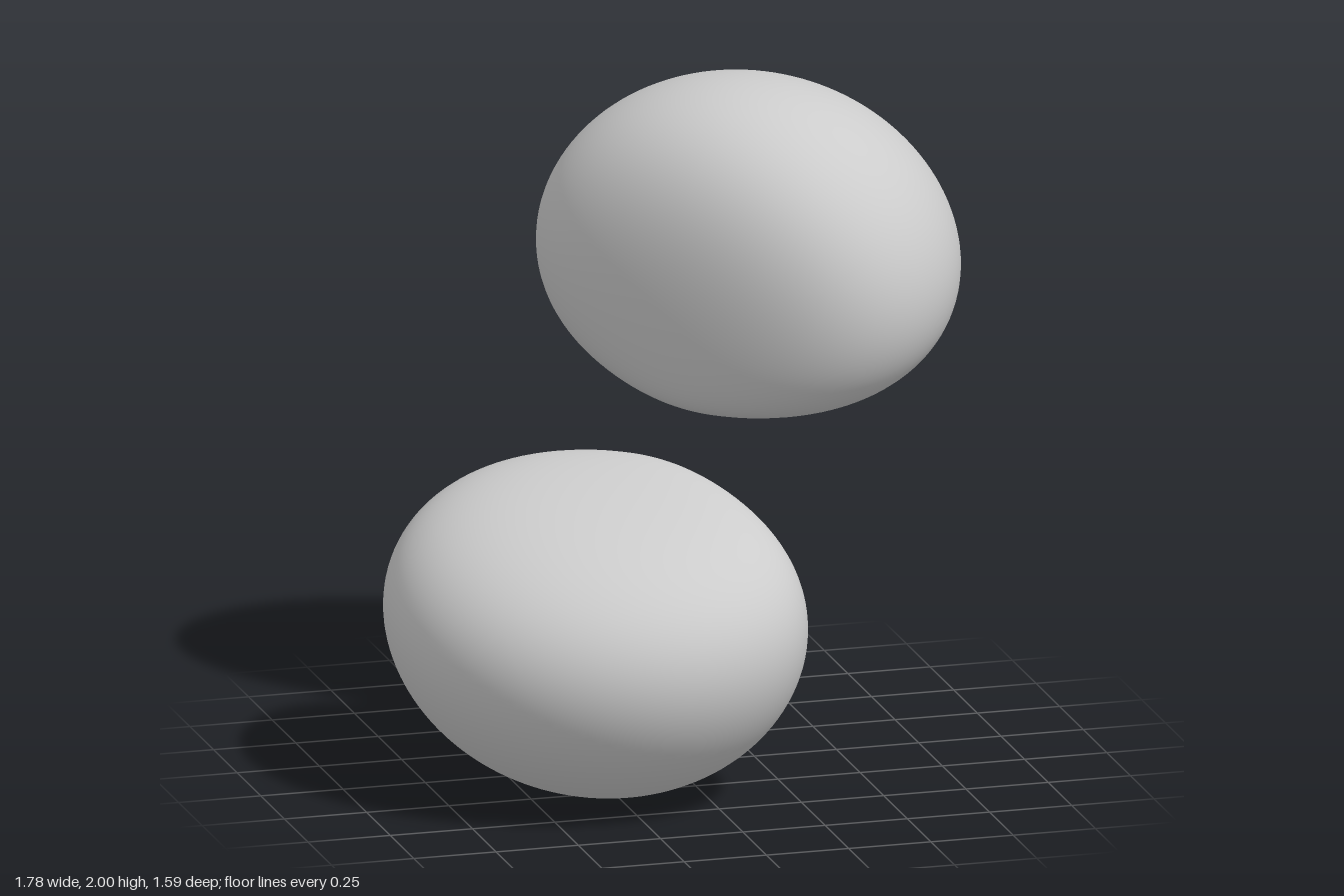
import * as THREE from 'three';
import { mergeVertices } from 'three/addons/utils/BufferGeometryUtils.js';

// Axes of a lobe: outward, across its wedge, along its ridge; and its root
const OUT = new THREE.Vector3(0.542, 0.801, -0.381);
const ACROSS = new THREE.Vector3(-0.623, 0.565, 0.693);
const RIDGE = new THREE.Vector3(0.684, -0.127, 0.724);
const ROOT = new THREE.Vector3(-0.033, 0.01, 0.036);

// Lobe of a four-lobed wave function, x outward, z along the ridge:
// a wedge with a rounded ridge and a round back
function inside({ x, y, z }) {
  const r = Math.hypot(x, y, z);
  return x > Math.abs(y) && Math.sqrt(x * x - y * y) > 0.0486 * r ** -0.15 * Math.exp(2.832 * r);
}

function lobeGeometry() {
  let geo = new THREE.IcosahedronGeometry(1, 24);
  geo.deleteAttribute('normal');
  geo.deleteAttribute('uv');
  geo = mergeVertices(geo, 1e-5);
  const pos = geo.attributes.position;
  const core = new THREE.Vector3(0.5, 0, 0);
  const dir = new THREE.Vector3();
  const p = new THREE.Vector3();
  // Push every vertex out from the core to the surface by bisection
  for (let i = 0; i < pos.count; i++) {
    dir.fromBufferAttribute(pos, i).normalize();
    let near = 0, far = 1.5;
    for (let k = 0; k < 26; k++) {
      const mid = (near + far) / 2;
      if (inside(p.copy(core).addScaledVector(dir, mid))) near = mid;
      else far = mid;
    }
    p.copy(core).addScaledVector(dir, near);
    pos.setXYZ(i, p.x, p.y, p.z);
  }
  return geo;
}

export function createModel() {
  const group = new THREE.Group();
  group.name = 'twoLobes';
  const material = new THREE.MeshStandardMaterial({ color: 0xcccccc });
  const lobe = lobeGeometry();
  // Upper lobe and its opposite through the centre
  for (const [name, sign] of [['upperLobe', 1], ['lowerLobe', -1]]) {
    const axes = new THREE.Matrix4().makeBasis(
      OUT.clone().multiplyScalar(sign), ACROSS.clone().multiplyScalar(sign), RIDGE);
    axes.setPosition(ROOT.clone().multiplyScalar(sign));
    const geo = lobe.clone().applyMatrix4(axes);
    geo.computeVertexNormals();
    const mesh = new THREE.Mesh(geo, material);
    mesh.name = name;
    mesh.position.y = 1;
    group.add(mesh);
  }
  return group;
}
